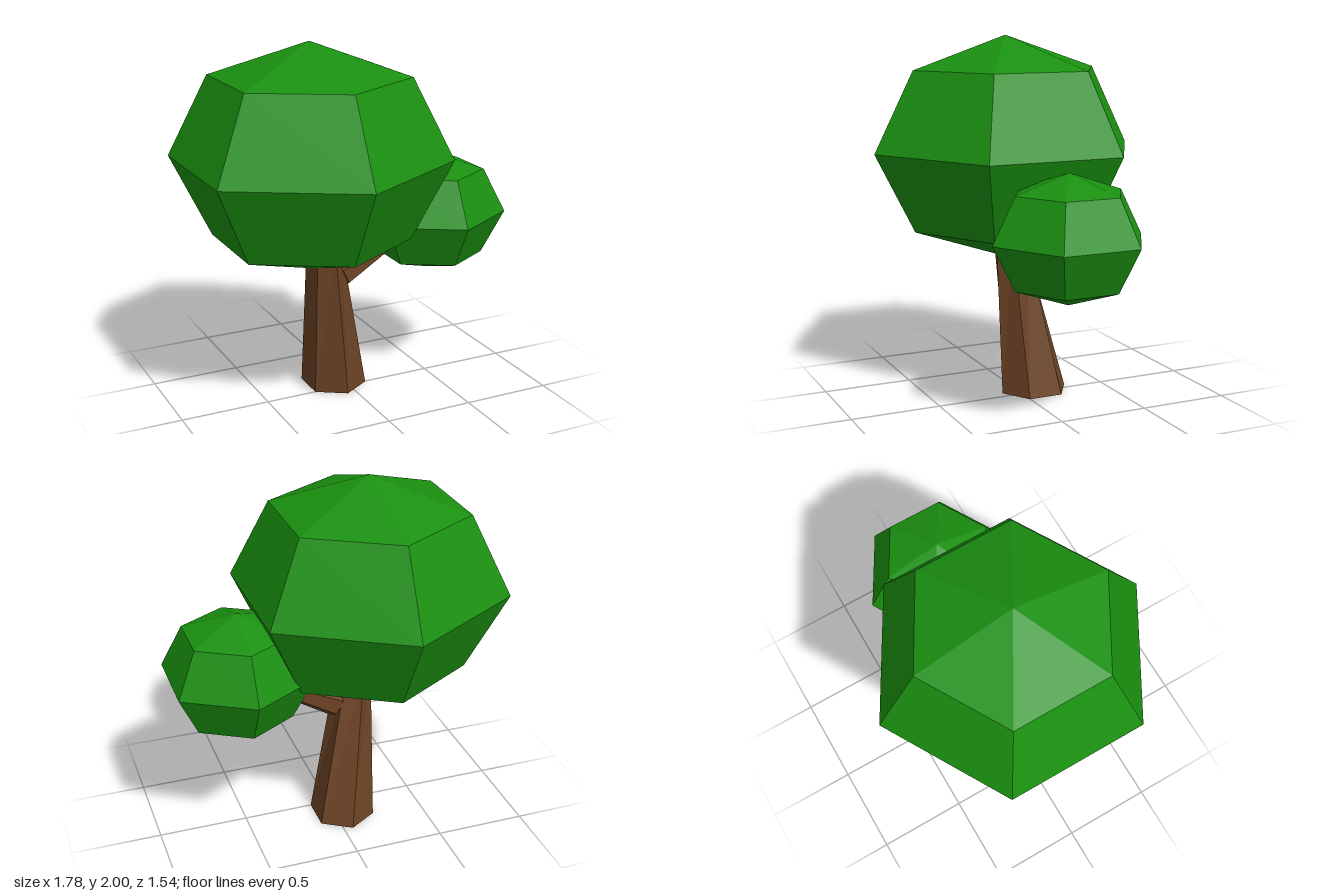
import * as THREE from 'three';

const leaf = new THREE.MeshStandardMaterial({ color: 0x1a9010, flatShading: true });
const bark = new THREE.MeshStandardMaterial({ color: 0x6b4224, flatShading: true });

function addMesh(group, name, geometry, material) {
  const mesh = new THREE.Mesh(geometry, material);
  mesh.name = name;
  group.add(mesh);
  return mesh;
}

// Six-sided faceted ball, wider than tall, with corners pointing along z
function foliage(group, name, radius, height, position) {
  const mesh = addMesh(group, name, new THREE.SphereGeometry(1, 6, 4).rotateY(Math.PI / 2), leaf);
  mesh.scale.set(radius, height, radius);
  mesh.position.set(...position);
}

// Leaning, slightly twisted hexagonal trunk
function trunkGeometry() {
  const height = 0.86;
  const geometry = new THREE.CylinderGeometry(0.098, 0.195, height, 6);
  const pos = geometry.attributes.position;
  const v = new THREE.Vector3();
  const up = new THREE.Vector3(0, 1, 0);
  for (let i = 0; i < pos.count; i++) {
    v.fromBufferAttribute(pos, i);
    if (v.y > 0) {
      v.applyAxisAngle(up, THREE.MathUtils.degToRad(15));
      v.x -= 0.152;
      v.z += 0.006;
    } else {
      v.x = v.x * 0.935 - 0.052;
      v.z -= 0.095;
    }
    pos.setXYZ(i, v.x, v.y + height / 2, v.z);
  }
  geometry.computeVertexNormals();
  return geometry;
}

export function createModel() {
  const tree = new THREE.Group();
  tree.name = 'tree';

  addMesh(tree, 'trunk', trunkGeometry(), bark);

  // Tapered side branch, rising to the small crown
  const start = new THREE.Vector3(-0.04, 0.688, -0.02);
  const end = new THREE.Vector3(0.4, 0.9, -0.02);
  const axis = end.clone().sub(start);
  const branch = addMesh(tree, 'branch',
    new THREE.CylinderGeometry(0.035, 0.086, axis.length(), 6).rotateY(Math.PI / 2), bark);
  branch.position.copy(start).lerp(end, 0.5);
  branch.quaternion.setFromUnitVectors(new THREE.Vector3(0, 1, 0), axis.normalize());

  foliage(tree, 'mainCrown', 0.768, 0.625, [-0.227, 1.375, 0]);
  foliage(tree, 'smallCrown', 0.427, 0.346, [0.52, 0.982, -0.02]);

  return tree;
}
